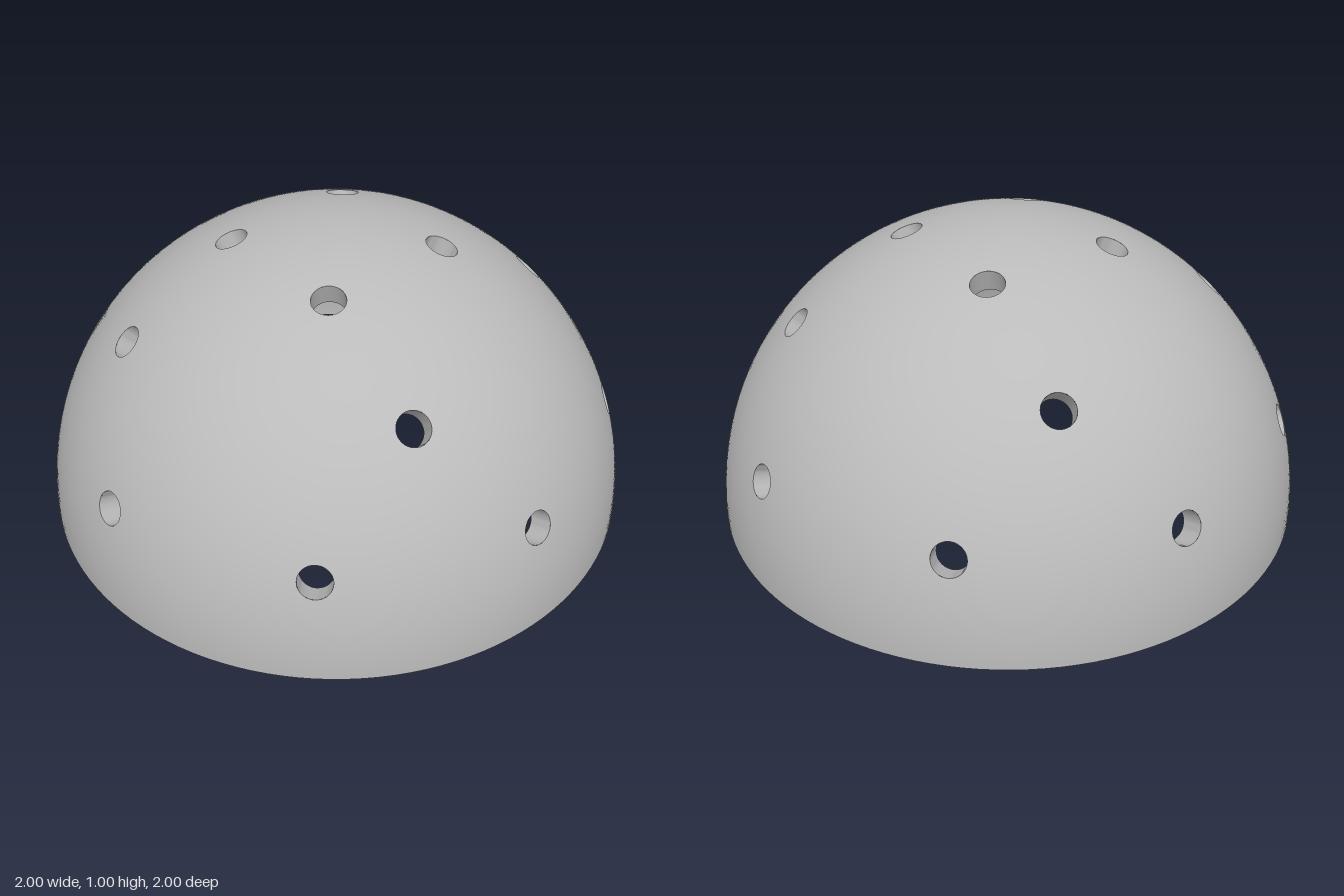
import * as THREE from 'three';
import { mergeGeometries, toCreasedNormals } from 'three/addons/utils/BufferGeometryUtils.js';

const RAD = Math.PI / 180;
const R_OUT = 1, R_IN = 0.98, R_RIB = 0.957, R_COLLAR = 0.918;
const HOLE = 0.055, COLLAR = 0.073;

// Unit direction; azimuth turns from +x towards +z
const dir = (az, el) => new THREE.Vector3(
  Math.cos(el) * Math.cos(az), Math.sin(el), Math.cos(el) * Math.sin(az));

// Bands of the dome: one round hole per tile (angles in degrees)
const BANDS = [
  { count: 8, first: 22.5, low: 0, high: 32.5, holeEl: 20.3, nAz: 16, nEl: 16 },
  { count: 4, first: 0, low: 32.5, high: 57.5, holeEl: 45, nAz: 32, nEl: 14 },
  { count: 4, first: 22.5, low: 57.5, high: 90, holeEl: 70, nAz: 32, nEl: 16 },
];

// Spherical tile that blends from its rectangular border to the round hole
function tile(band, azDeg, radius, inward) {
  const { count, low, high, holeEl, nAz, nEl } = band;
  const az0 = azDeg * RAD, half = Math.PI / count, steps = 12;
  const border = [];
  for (let i = 0; i < nAz; i++) border.push([-1 + 2 * i / nAz, -1]);
  for (let i = 0; i < nEl; i++) border.push([1, -1 + 2 * i / nEl]);
  for (let i = 0; i < nAz; i++) border.push([1 - 2 * i / nAz, 1]);
  for (let i = 0; i < nEl; i++) border.push([-1, 1 - 2 * i / nEl]);

  const e = holeEl * RAD, alpha = Math.asin(HOLE / radius);
  const centre = dir(0, e), east = new THREE.Vector3(0, 0, 1);
  const north = new THREE.Vector3(-Math.sin(e), Math.cos(e), 0);
  const pos = [], nor = [], idx = [];
  for (const [u, v] of border) {
    const th = Math.atan2(v, u);
    const p = centre.clone().multiplyScalar(Math.cos(alpha))
      .addScaledVector(east, Math.cos(th) * Math.sin(alpha))
      .addScaledVector(north, Math.sin(th) * Math.sin(alpha));
    const hAz = Math.atan2(p.z, p.x), hEl = Math.asin(p.y);
    const bAz = u * half, bEl = (low + (high - low) * (v + 1) / 2) * RAD;
    for (let j = 0; j <= steps; j++) {
      const t = j / steps;
      const d = dir(az0 + hAz + (bAz - hAz) * t, hEl + (bEl - hEl) * t);
      pos.push(d.x * radius, d.y * radius, d.z * radius);
      const s = inward ? -1 : 1;
      nor.push(d.x * s, d.y * s, d.z * s);
    }
  }
  const n = border.length, w = steps + 1;
  for (let i = 0; i < n; i++) {
    for (let j = 0; j < steps; j++) {
      const a = i * w + j, b = a + 1, c = ((i + 1) % n) * w + j, d = c + 1;
      if (inward) idx.push(a, b, d, a, d, c);
      else idx.push(a, d, b, a, c, d);
    }
  }
  const g = new THREE.BufferGeometry();
  g.setAttribute('position', new THREE.Float32BufferAttribute(pos, 3));
  g.setAttribute('normal', new THREE.Float32BufferAttribute(nor, 3));
  g.setIndex(idx);
  return g;
}

function eachHole(fn) {
  for (const band of BANDS)
    for (let k = 0; k < band.count; k++) fn(band, band.first + k * 360 / band.count);
}

function domeSurface(radius, inward) {
  const parts = [];
  eachHole((band, az) => parts.push(tile(band, az, radius, inward)));
  return mergeGeometries(parts);
}

// Box bent onto the inside of the dome
function rib(azMid, azSpan, low, high, nAz, nEl) {
  const g = new THREE.BoxGeometry(1, 1, 1, nAz, nEl, 1);
  const p = g.attributes.position;
  for (let i = 0; i < p.count; i++) {
    const d = dir((azMid - p.getX(i) * azSpan) * RAD, (low + (high - low) * (p.getY(i) + 0.5)) * RAD);
    d.multiplyScalar(p.getZ(i) > 0 ? R_IN + 0.005 : R_RIB);
    p.setXYZ(i, d.x, d.y, d.z);
  }
  return toCreasedNormals(g, 0.6);
}

export function createModel() {
  const model = new THREE.Group();
  model.name = 'perforatedDome';
  const grey = new THREE.MeshStandardMaterial({ color: 0xbbbbbb });
  grey.name = 'grey';
  const add = (name, geometry) => {
    const mesh = new THREE.Mesh(geometry, grey);
    mesh.name = name;
    model.add(mesh);
    return mesh;
  };

  // Thin shell and its bottom rim
  add('outerShell', domeSurface(R_OUT, false));
  add('innerShell', domeSurface(R_IN, true));
  add('rim', new THREE.RingGeometry(R_IN, R_OUT, 128).rotateX(Math.PI / 2));

  // Collar lining each hole and standing out on the inside
  const profile = [
    [HOLE, Math.sqrt(R_OUT ** 2 - HOLE ** 2)], [HOLE, R_COLLAR],
    [COLLAR, R_COLLAR], [COLLAR, R_IN],
  ].map(([x, y]) => new THREE.Vector2(x, y));
  const collar = toCreasedNormals(new THREE.LatheGeometry(profile, 40), 0.6);
  const up = new THREE.Vector3(0, 1, 0);
  eachHole((band, az) => {
    add('holeCollar', collar).quaternion.setFromUnitVectors(up, dir(az * RAD, band.holeEl * RAD));
  });

  // Inner reinforcing hoops and upright ribs
  for (const el of [32.5, 57.5]) add('innerHoop', rib(0, 360, el - 2, el + 2, 96, 2));
  for (let k = 0; k < 4; k++) add('uprightRib', rib(45 + 90 * k, 4, 0, 89, 2, 40));

  return model;
}
